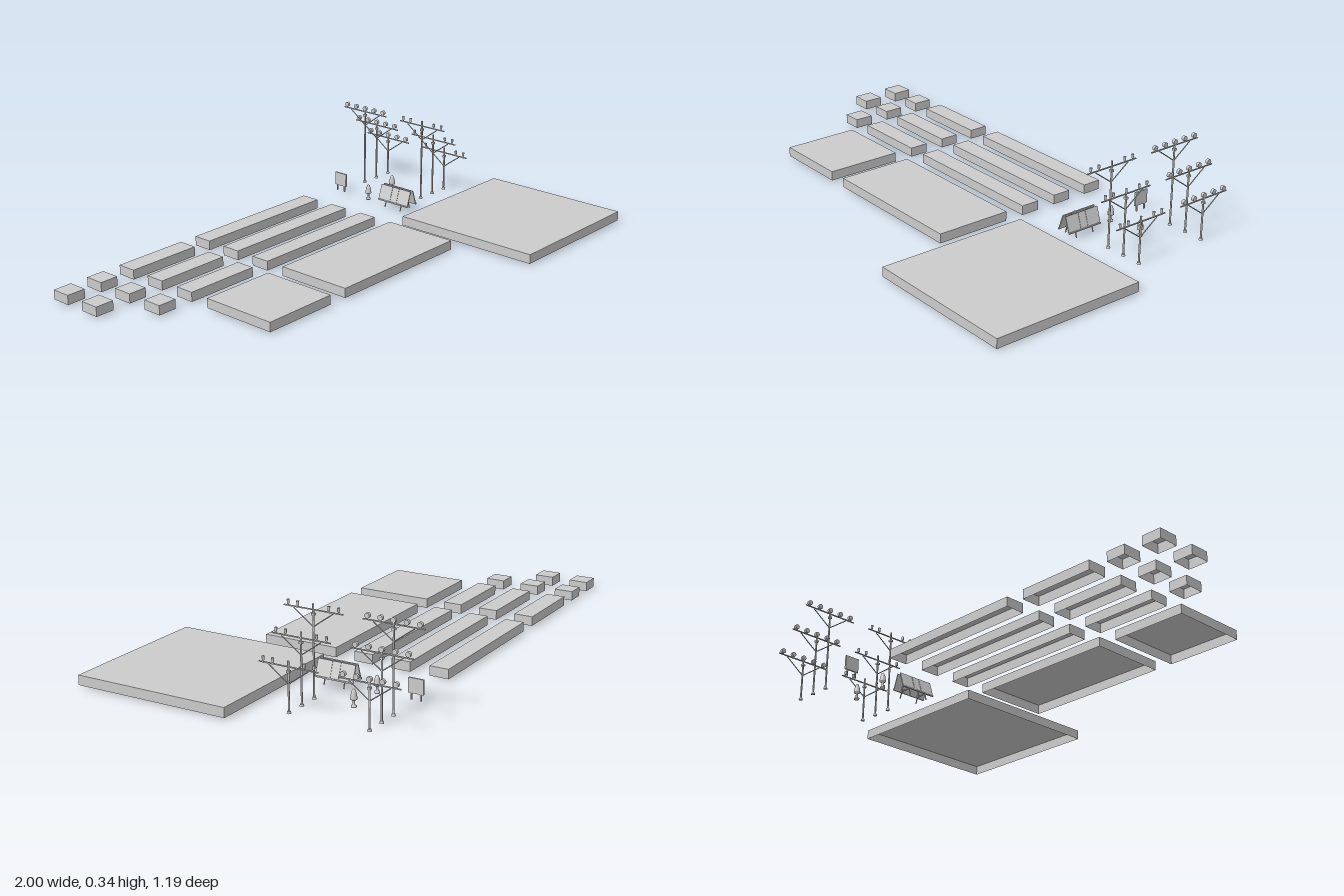
import * as THREE from 'three';

const grey = new THREE.MeshStandardMaterial({ color: 0xcccccc, side: THREE.DoubleSide });

function add(parent, name, geometry, x = 0, y = 0, z = 0) {
  const mesh = new THREE.Mesh(geometry, grey);
  mesh.name = name;
  mesh.position.set(x, y, z);
  parent.add(mesh);
  return mesh;
}

function group(parent, name, x = 0, z = 0) {
  const g = new THREE.Group();
  g.name = name;
  g.position.set(x, 0, z);
  parent.add(g);
  return g;
}

const box = (w, h, d) => new THREE.BoxGeometry(w, h, d);

// Thin round rod between two points
function rod(parent, name, a, b, r, sides = 8) {
  const p = new THREE.Vector3(...a), q = new THREE.Vector3(...b);
  const dir = q.clone().sub(p);
  const mesh = add(parent, name, new THREE.CylinderGeometry(r, r, dir.length(), sides));
  mesh.position.copy(p).add(q).multiplyScalar(0.5);
  mesh.quaternion.setFromUnitVectors(new THREE.Vector3(0, 1, 0), dir.normalize());
}

// Hollow slab: a box without its bottom face
function slab(parent, x0, x1, z0, z1) {
  const g = box(x1 - x0, 0.037, z1 - z0);
  const index = Array.from(g.index.array);
  index.splice(18, 6);
  g.setIndex(index);
  g.clearGroups();
  add(parent, 'slab', g, (x0 + x1) / 2, 0.0275, (z0 + z1) / 2);
}

// Pole with a braced crossbar; carries either upright pegs or round lamps
function pole(parent, x, z, barY, round) {
  const p = group(parent, round ? 'lampPole' : 'pegPole', x, z);
  add(p, 'poleBase', new THREE.CylinderGeometry(0.006, 0.008, 0.008, 10), 0, 0.007, 0);
  rod(p, 'post', [0, 0.004, 0], [0, barY + 0.021, 0], 0.0035);
  add(p, 'crossbar', box(0.004, 0.004, 0.232), 0, barY, 0);
  add(p, 'collar', box(0.012, 0.008, 0.012), 0, barY - 0.016, 0);
  for (const s of [-1, 1]) {
    rod(p, 'brace', [0, barY - 0.06, 0], [0, barY - 0.004, s * 0.077], 0.002, 6);
  }
  const offsets = round ? [-0.098, -0.049, 0, 0.049, 0.098] : [-0.099, -0.061, 0.061, 0.099];
  for (const dz of offsets) {
    if (round) {
      const lamp = add(p, 'lamp', new THREE.CylinderGeometry(0.0095, 0.0095, 0.011, 14), 0, barY + 0.014, dz);
      lamp.rotation.z = Math.PI / 2;
    } else {
      rod(p, 'pegStem', [0, barY - 0.003, dz], [0, barY + 0.006, dz], 0.002, 6);
      add(p, 'peg', new THREE.CylinderGeometry(0.0052, 0.0042, 0.015, 10), 0, barY + 0.0135, dz);
    }
  }
}

// Two sloping boards leaning together, on legs with a ledge along the foot
function doubleBoard(parent, x, z) {
  const g = group(parent, 'doubleBoard', x, z);
  const tilt = Math.atan2(0.021, 0.062);
  for (const s of [-1, 1]) {
    const board = add(g, 'board', box(0.004, 0.066, 0.152), s * 0.0175, 0.061, 0);
    board.rotation.z = s * tilt;
    add(g, 'ledge', box(0.006, 0.005, 0.152), s * 0.0285, 0.0325, 0);
    for (const dz of [-0.04, 0.04]) {
      rod(g, 'leg', [s * 0.004, 0.09, dz], [s * 0.03, 0.006, dz], 0.0025, 6);
    }
    for (const dz of [-0.017, 0.017]) {
      const batten = add(g, 'batten', box(0.003, 0.066, 0.003), s * 0.0195, 0.0615, dz);
      batten.rotation.z = s * tilt;
    }
  }
  for (const dz of [-0.04, 0.04]) {
    add(g, 'spreader', box(0.05, 0.004, 0.004), 0, 0.033, dz);
  }
}

// Small upright board on two legs
function smallBoard(parent, x, z) {
  const g = group(parent, 'smallBoard', x, z);
  add(g, 'board', box(0.007, 0.055, 0.059), 0, 0.0575, 0);
  for (const dz of [-0.019, 0.019]) {
    add(g, 'leg', box(0.005, 0.07, 0.005), 0, 0.041, dz);
  }
}

// Short bollard light with a tapered head
function bollard(parent, x, z) {
  const profile = [
    [0, 0.004], [0.01, 0.004], [0.01, 0.01], [0.0045, 0.013], [0.0045, 0.028],
    [0.0125, 0.032], [0.0125, 0.037], [0.009, 0.057], [0.0075, 0.058], [0.006, 0.066], [0, 0.07],
  ].map(([r, y]) => new THREE.Vector2(r, y));
  const g = group(parent, 'bollard', x, z);
  add(g, 'bollardBody', new THREE.LatheGeometry(profile, 12));
}

export function createModel() {
  const model = new THREE.Group();
  model.name = 'platformKit';

  // Narrow slabs in three rows
  const columns = [[-1, -0.923], [-0.848, -0.772], [-0.694, -0.387], [-0.31, 0.305]];
  [-0.481, -0.328, -0.174].forEach((z, row) => {
    columns.forEach(([x0, x1], col) => {
      if (row === 2 && col === 0) return;
      slab(model, x0, x1, z, z + 0.076);
    });
  });

  // Wide slabs
  slab(model, -0.694, -0.387, -0.02, 0.285);
  slab(model, -0.31, 0.305, -0.02, 0.285);
  slab(model, 0.385, 1, -0.02, 0.595);

  // Poles in three heights
  [[0.69, 0.32], [0.767, 0.243], [0.845, 0.166]].forEach(([x, y]) => {
    pole(model, x, -0.171, y, false);
    pole(model, x, -0.479, y, true);
  });

  doubleBoard(model, 0.536, -0.172);
  smallBoard(model, 0.535, -0.479);
  bollard(model, 0.535, -0.327);
  bollard(model, 0.69, -0.327);
  return model;
}
